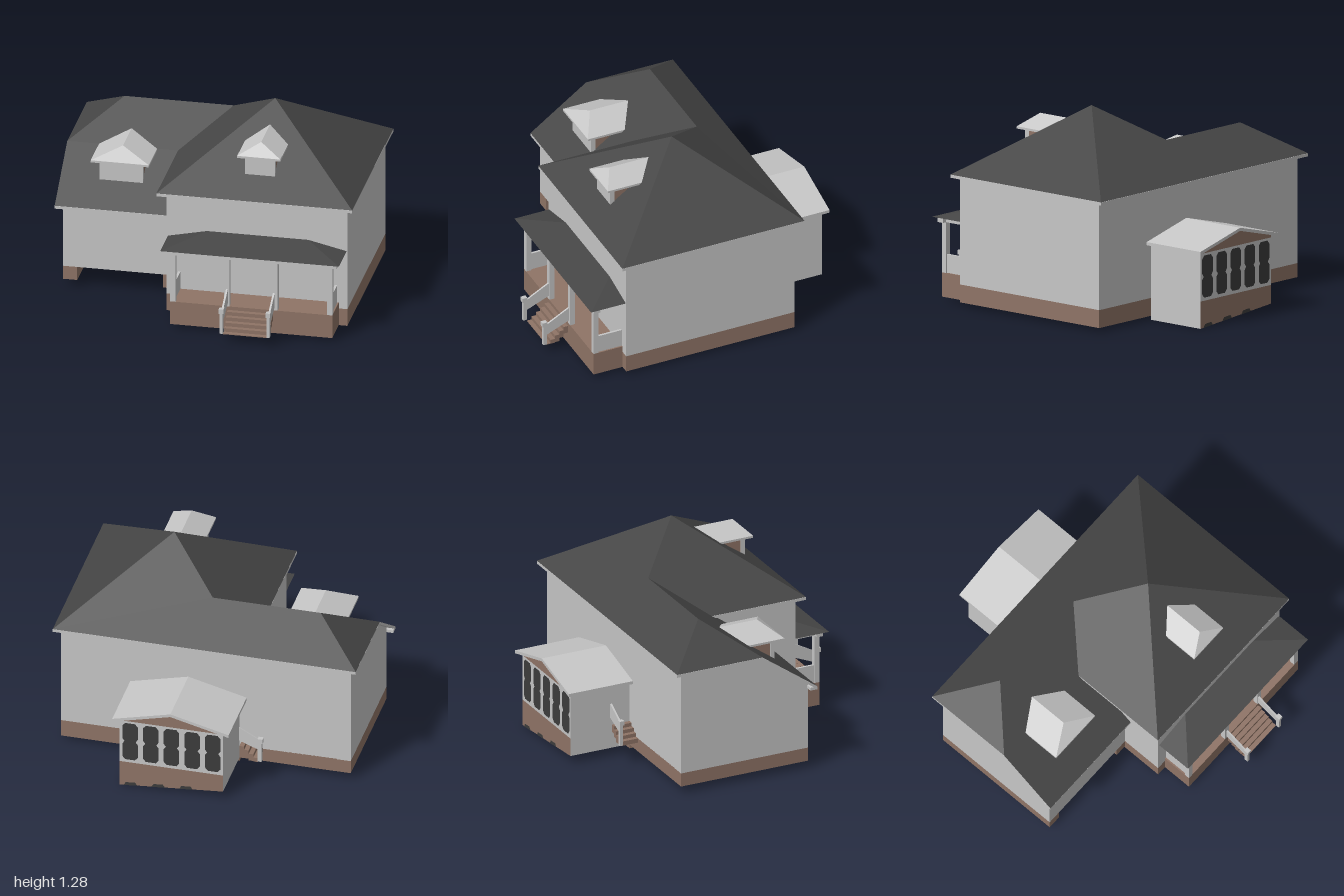
import * as THREE from 'three';

const mat = (name, color) => {
  const m = new THREE.MeshStandardMaterial({ color, side: THREE.DoubleSide });
  m.name = name;
  return m;
};

export function createModel() {
  const house = new THREE.Group();
  house.name = 'house';
  const wall = mat('light grey', 0xc6c6c6);
  const roof = mat('dark roof', 0x464646);
  const brick = mat('brown brick', 0x8f7466);
  const glass = mat('dark glass', 0x3c3c3c);

  const add = (name, geo, m, parent = house) => {
    const mesh = new THREE.Mesh(geo, m);
    mesh.name = name;
    parent.add(mesh);
    return mesh;
  };
  // Box given by its limits on each axis
  const box = (name, m, x0, x1, y0, y1, z0, z1, parent) =>
    add(name, new THREE.BoxGeometry(x1 - x0, y1 - y0, z1 - z0)
      .translate((x0 + x1) / 2, (y0 + y1) / 2, (z0 + z1) / 2), m, parent);
  // Flat convex faces, corners anticlockwise from outside
  const faces = (name, m, list, parent) => {
    const p = [];
    for (const f of list)
      for (let i = 1; i < f.length - 1; i++) p.push(...f[0], ...f[i], ...f[i + 1]);
    const g = new THREE.BufferGeometry();
    g.setAttribute('position', new THREE.Float32BufferAttribute(p, 3));
    g.computeVertexNormals();
    return add(name, g, m, parent);
  };
  const shape = pts => new THREE.Shape(pts.map(([x, y]) => new THREE.Vector2(x, y)));
  const extrude = (pts, depth) => new THREE.ExtrudeGeometry(shape(pts), { depth, bevelEnabled: false });
  // Open shell of four upright walls
  const shell = (name, m, x0, x1, y0, y1, z0, z1) => faces(name, m, [
    [[x0, y0, z1], [x1, y0, z1], [x1, y1, z1], [x0, y1, z1]],
    [[x1, y0, z1], [x1, y0, z0], [x1, y1, z0], [x1, y1, z1]],
    [[x1, y0, z0], [x0, y0, z0], [x0, y1, z0], [x1, y1, z0]],
    [[x0, y0, z0], [x0, y0, z1], [x0, y1, z1], [x0, y1, z0]],
  ]);

  // Main block
  shell('mainWalls', wall, -0.22, 0.94, 0.145, 0.84, -0.55, 0.615);
  shell('mainFoundation', brick, -0.22, 0.94, 0.03, 0.145, -0.55, 0.615);

  // Side wing: back, outer side with sloping top, low front
  const L = -0.94, P = -0.22;
  faces('wingWalls', wall, [
    [[P, 0.145, -0.55], [L, 0.145, -0.55], [L, 0.84, -0.55], [P, 0.84, -0.55]],
    [[L, 0.145, -0.55], [L, 0.145, 0.34], [L, 0.595, 0.34], [L, 0.84, 0], [L, 0.84, -0.55]],
    [[L, 0.145, 0.34], [P, 0.145, 0.34], [P, 0.595, 0.34], [L, 0.595, 0.34]],
  ]);
  box('wingFoundationSide', brick, L, -0.85, 0.055, 0.145, -0.55, 0.34);
  box('wingFoundationBack', brick, -0.85, P, 0.055, 0.148, -0.55, -0.46);
  box('wingFoundationInner', brick, -0.3, P - 0.001, 0.055, 0.145, -0.46, 0.34);

  // Hipped roof over both blocks
  const E = 0.85, apex = [0.355, 1.285, 0.03], r1 = [-0.68, 1.055, -0.3], r2 = [0.02, 1.055, -0.3];
  const bl = [-0.985, E, -0.6], br = [0.98, E, -0.6], fr = [0.98, E, 0.66], fl = [-0.275, E, 0.66];
  const v = [-0.275, E, 0], wl = [-0.985, E, 0];
  faces('mainRoof', roof, [
    [fl, fr, apex], [fr, br, apex], [br, bl, r1, r2, apex], [v, fl, apex, r2],
    [bl, wl, r1], [wl, v, r2, r1],
    [[-0.985, 0.575, 0.385], [-0.22, 0.575, 0.385], [-0.22, E, 0], wl],
  ]);

  // Eaves
  box('eaveFront', wall, -0.275, 0.98, 0.83, 0.849, 0.61, 0.66);
  box('eaveRight', wall, 0.935, 0.98, 0.83, 0.849, -0.6, 0.66);
  box('eaveBack', wall, -0.985, 0.98, 0.83, 0.849, -0.6, -0.545);
  box('eaveInner', wall, -0.275, -0.215, 0.83, 0.849, 0, 0.66);
  box('eaveWingFront', wall, -0.985, -0.22, 0.555, 0.574, 0.335, 0.385);
  add('eaveWingSide', extrude([[0.6, 0.849], [0, 0.849], [-0.385, 0.574], [-0.385, 0.555], [0, 0.83], [0.6, 0.83]], 0.05)
    .rotateY(Math.PI / 2).translate(-0.985, 0, 0), wall);

  // Dormers with a hipped front
  const dormer = (name, cx, hw, ww, y0, ey, top, zf, zw, zHip, zEave, zRidge) => {
    const g = new THREE.Group();
    g.name = name;
    house.add(g);
    const a = cx - hw, b = cx + hw, h = [cx, top, zHip], k = [cx, top, zRidge];
    faces('dormerRoof', wall, [
      [[a, ey, zf], [b, ey, zf], h],
      [[b, ey, zf], [b, ey, zEave], k, h],
      [[a, ey, zEave], [a, ey, zf], h, k],
    ], g);
    box('dormerEave', wall, a, b, ey - 0.015, ey - 0.001, zEave, zf, g);
    box('dormerFront', wall, cx - ww, cx + ww, y0, ey - 0.01, zw - 0.03, zw, g);
    faces('dormerCheeks', brick, [-1, 1].map(s => {
      const x = cx + s * (ww - 0.004);
      const t = [[x, y0, zw - 0.005], [x, ey - 0.01, zEave], [x, ey - 0.01, zw - 0.005]];
      return s < 0 ? [t[0], t[2], t[1]] : t;
    }), g);
  };
  dormer('mainDormer', 0.355, 0.138, 0.097, 0.963, 1.1, 1.175, 0.535, 0.5, 0.46, 0.3, 0.19);
  dormer('wingDormer', -0.595, 0.186, 0.139, 0.703, 0.85, 0.925, 0.255, 0.21, 0.155, 0, -0.11);

  // Porch floor, skirt, posts, beams, side panels and roof
  const px0 = -0.155, px1 = 0.885, pz = 0.815;
  box('porchFloor', brick, px0, px1, 0.165, 0.186, 0.615, pz);
  box('porchSkirtFront', brick, px0, px1, 0.03, 0.17, pz - 0.01, pz);
  for (const x of [px0, px1 - 0.01]) box('porchSkirtSide', brick, x, x + 0.01, 0.03, 0.17, 0.615, pz - 0.01);
  for (const x of [px0, 0.19, 0.5, px1 - 0.035]) box('porchPost', wall, x, x + 0.035, 0.186, 0.515, pz - 0.035, pz);
  box('porchBeamFront', wall, -0.185, 0.915, 0.512, 0.544, pz - 0.035, pz + 0.01);
  for (const x of [px0, px1 - 0.035]) {
    box('porchBeamSide', wall, x, x + 0.035, 0.512, 0.544, 0.615, pz - 0.035);
    box('porchSidePanel', wall, x + 0.01, x + 0.025, 0.186, 0.305, 0.615, pz - 0.035);
  }
  const pa = [-0.21, 0.545, 0.855], pb = [0.935, 0.545, 0.855], pc = [0.69, 0.6, 0.615], pd = [0.04, 0.6, 0.615];
  faces('porchRoof', roof, [
    [pa, pb, pc, pd], [pb, [0.935, 0.545, 0.615], pc], [[-0.21, 0.545, 0.615], pa, pd],
  ]);

  // Stairs running down +z from the local origin, with chosen railings
  const stairs = (name, half, steps, rails) => {
    const g = new THREE.Group();
    g.name = name;
    house.add(g);
    for (let i = 0; i < steps; i++) {
      const y = -0.024 * (i + 1);
      box('step', brick, -half, half, Math.max(y - 0.05, -0.125), y, i * 0.03, (i + 1) * 0.03, g);
    }
    const end = steps * 0.03 + 0.003;
    const drop = end * 0.55;
    for (const s of rails) {
      const x = s * (half + 0.006);
      const rail = add('stairRail', extrude([[0, 0.12], [-end, 0.12 - drop], [-end, 0.045 - drop], [0, 0.025]], 0.012)
        .rotateY(Math.PI / 2), wall, g);
      rail.position.x = x - 0.006;
      box('newelPost', wall, x - 0.01, x + 0.01, -0.11, 0.04, end, end + 0.025, g);
      box('newelCap', wall, x - 0.015, x + 0.015, 0.03, 0.06, end - 0.001, end + 0.032, g);
    }
    return g;
  };
  stairs('frontStairs', 0.144, 5, [-1, 1]).position.set(0.36, 0.186, pz);
  const side = stairs('sideStairs', 0.062, 4, [-1]);
  side.rotation.y = -Math.PI / 2;
  side.position.set(-0.255, 0.26, -0.63);

  // Back room: side walls with the base following sloping ground
  const bx0 = -0.22, bx1 = 0.45, bz = -0.965;
  const ground = x => 0.06 - 0.082 * (x - bx0);
  faces('backRoomSides', wall, [
    [[bx1, ground(bx1), -0.55], [bx1, ground(bx1), bz], [bx1, 0.505, bz], [bx1, 0.505, -0.55]],
    [[bx0, ground(bx0), bz], [bx0, ground(bx0), -0.55], [bx0, 0.505, -0.55], [bx0, 0.505, bz]],
  ]);
  faces('backRoomGlass', glass, [
    [[bx1, ground(bx1), bz + 0.008], [bx0, ground(bx0), bz + 0.008], [bx0, 0.49, bz + 0.008], [bx1, 0.49, bz + 0.008]],
  ]);
  faces('backRoomBase', brick, [
    [[bx1, ground(bx1), bz], [bx0, ground(bx0), bz], [bx0, 0.18, bz], [bx1, 0.18, bz]],
  ]);
  faces('backRoomGable', brick, [
    [[bx1, 0.485, bz], [bx0, 0.485, bz], [bx0, 0.505, bz], [0.113, 0.59, bz], [bx1, 0.505, bz]],
  ]);
  // Window frame: five openings, each two stacked chamfered panes
  const frame = shape([[bx0, 0.18], [bx1, 0.18], [bx1, 0.485], [bx0, 0.485]]);
  const half = [[0.032, 0.2], [0.05, 0.222], [0.05, 0.315], [0.036, 0.335], [0.05, 0.355], [0.05, 0.448], [0.032, 0.47]];
  const outline = [...half, ...half.map(([x, y]) => [-x, y]).reverse()];
  for (let i = 0; i < 5; i++) {
    const cx = bx0 + 0.067 + i * 0.134;
    frame.holes.push(new THREE.Path(outline.map(([x, y]) => new THREE.Vector2(cx + x, y))));
  }
  // turned about y so that its front looks backwards
  add('backRoomFrame', new THREE.ShapeGeometry(frame).translate(-0.115, 0, 0).rotateY(Math.PI).translate(0.115, 0, bz), wall);
  // Low vents at the foot of the back wall
  faces('baseVents', glass, [0.38, 0.2, 0.02].map(x =>
    [[0.045, 0], [-0.045, 0], [-0.03, 0.022], [0.03, 0.022]].map(([dx, dy]) => [x + dx, ground(x + dx) + dy, bz - 0.003])));
  // Shallow gable roof
  add('backRoomRoof', extrude([[-0.265, 0.49], [0.113, 0.585], [0.49, 0.49], [0.49, 0.51], [0.113, 0.605], [-0.265, 0.51]], 0.45)
    .translate(0, 0, -1), wall);

  return house;
}
